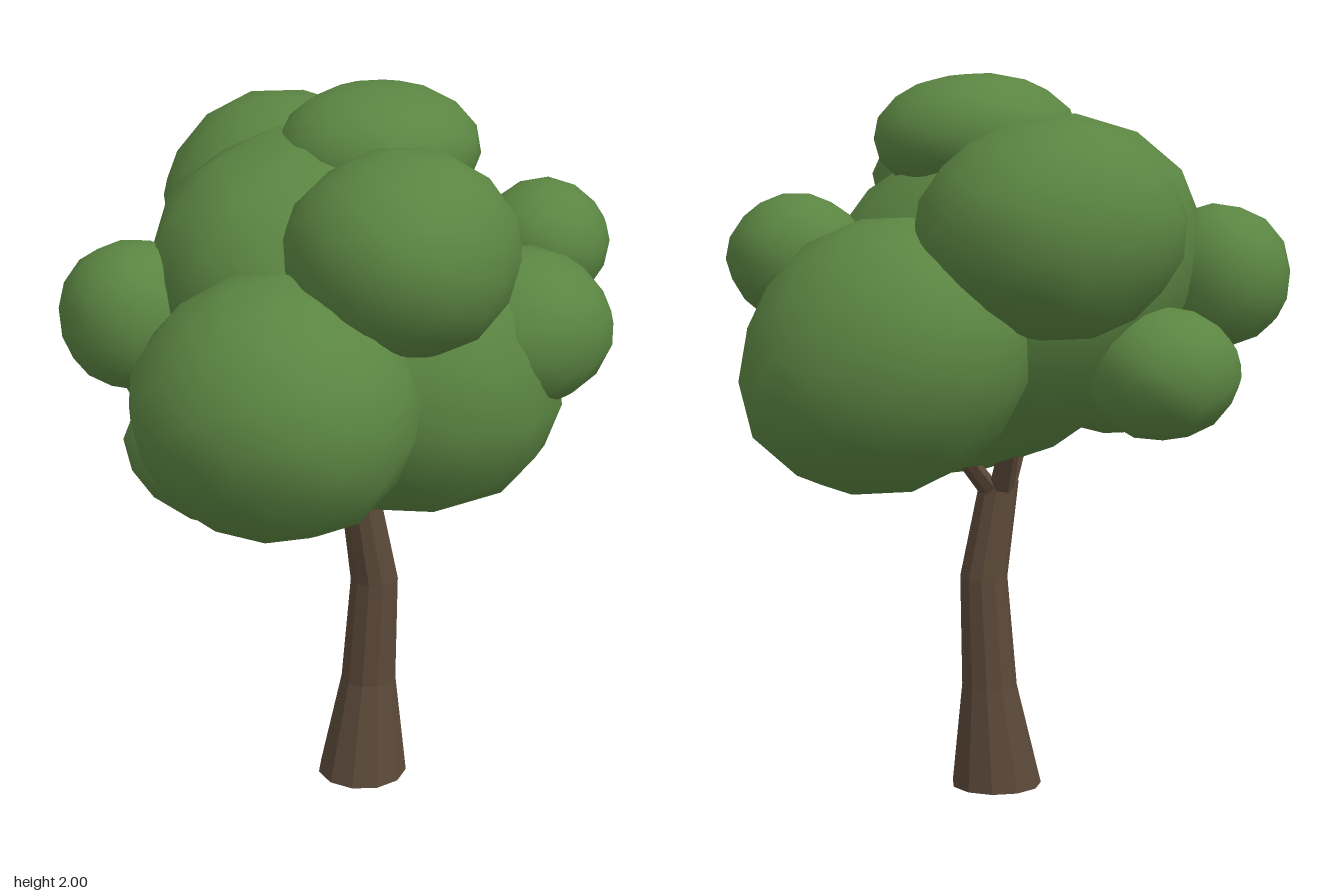
import * as THREE from 'three';
import { mergeVertices } from 'three/addons/utils/BufferGeometryUtils.js';

const leafGreen = new THREE.MeshStandardMaterial({ color: 0x5b8542 });
const barkBrown = new THREE.MeshStandardMaterial({ color: 0x5b4939 });

// Smooth, slightly lumpy low-poly ellipsoid; leanX and leanZ shift it sideways with height
function leafClump([rx, ry, rz], [leanX, leanZ], seed) {
  let geo = new THREE.IcosahedronGeometry(1, 2);
  geo.deleteAttribute('normal');
  geo.deleteAttribute('uv');
  geo = mergeVertices(geo, 1e-4);
  geo.rotateY(seed * 1.3).rotateX(seed * 0.7);
  const pos = geo.attributes.position;
  const v = new THREE.Vector3();
  for (let i = 0; i < pos.count; i++) {
    v.fromBufferAttribute(pos, i);
    const lump = Math.sin(4.1 * v.x + seed * 2.1) * Math.cos(3.7 * v.y + seed)
      + Math.sin(4.7 * v.z + seed * 1.7) * 0.6 + Math.sin(6 * v.y + 5 * v.x + seed) * 0.5;
    v.multiplyScalar(1.01 + 0.02 * lump);
    const y = v.y * ry;
    pos.setXYZ(i, v.x * rx + y * leanX, y, v.z * rz + y * leanZ);
  }
  geo.computeVertexNormals();
  return geo;
}

// Flat-faced limb through rings of [x, y, z, radius], closed at both ends
function limb(rings, sides) {
  const verts = [], index = [];
  for (const [x, y, z, r] of rings) {
    for (let i = 0; i < sides; i++) {
      const a = (i / sides) * Math.PI * 2 + 0.2;
      verts.push(x + Math.cos(a) * r, y, z + Math.sin(a) * r);
    }
  }
  for (let k = 0; k < rings.length - 1; k++) {
    for (let i = 0; i < sides; i++) {
      const a = k * sides + i, b = k * sides + (i + 1) % sides;
      index.push(a, a + sides, b, b, a + sides, b + sides);
    }
  }
  const top = (rings.length - 1) * sides;
  for (let i = 1; i < sides - 1; i++) {
    index.push(0, i, i + 1, top, top + i + 1, top + i);
  }
  const geo = new THREE.BufferGeometry();
  geo.setAttribute('position', new THREE.Float32BufferAttribute(verts, 3));
  geo.setIndex(index);
  const flat = geo.toNonIndexed();
  flat.computeVertexNormals();
  return flat;
}

export function createModel() {
  const tree = new THREE.Group();
  tree.name = 'tree';
  const add = (name, geo, material, parent) => {
    const mesh = new THREE.Mesh(geo, material);
    mesh.name = name;
    parent.add(mesh);
    return mesh;
  };

  // Bent trunk with a flared foot
  add('trunk', limb([
    [0.012, 0, 0.065, 0.127],
    [0.038, 0.29, 0.06, 0.078],
    [0.05, 0.6, 0.07, 0.067],
    [0.005, 0.87, 0.06, 0.055],
  ], 11), barkBrown, tree);

  // Branches forking up into the crown
  const branches = new THREE.Group();
  branches.name = 'branches';
  tree.add(branches);
  for (const [x, z] of [[-0.13, 0.12], [0.24, 0.04], [0.05, -0.1]]) {
    add('branch', limb([
      [0.005 + x * 0.1, 0.84, 0.06 + (z - 0.06) * 0.1, 0.038],
      [x, 1.08, z, 0.024],
    ], 7), barkBrown, branches);
  }

  // Crown of overlapping clumps: name, centre, radii, lean
  const crown = new THREE.Group();
  crown.name = 'crown';
  tree.add(crown);
  const upright = [0, 0];
  const clumps = [
    ['coreClump', [-0.01, 1.385, 0.08], [0.54, 0.5, 0.53], [-0.2, -0.28]],
    ['topClump', [0.105, 1.83, 0.015], [0.285, 0.17, 0.26], upright],
    ['frontUpperClump', [-0.15, 1.685, 0.41], [0.31, 0.265, 0.29], upright],
    ['frontLowerClump', [0.28, 1.385, 0.385], [0.26, 0.215, 0.25], upright],
    ['largeRightClump', [-0.48, 1.32, 0.31], [0.37, 0.34, 0.37], upright],
    ['lowRightClump', [-0.45, 1.2, 0.16], [0.33, 0.24, 0.28], upright],
    ['smallRightClump', [-0.55, 1.44, -0.22], [0.19, 0.2, 0.19], upright],
    ['largeLeftClump', [0.47, 1.27, -0.14], [0.38, 0.36, 0.385], [-0.12, 0]],
    ['smallLeftClump', [0.57, 1.51, 0.17], [0.19, 0.17, 0.18], upright],
    ['backUpperClump', [0.12, 1.6, -0.39], [0.36, 0.29, 0.32], upright],
    ['backLowerClump', [-0.24, 1.2, -0.39], [0.21, 0.18, 0.2], upright],
  ];
  clumps.forEach(([name, centre, radii, lean], i) => {
    add(name, leafClump(radii, lean, i + 1), leafGreen, crown).position.set(...centre);
  });
  return tree;
}
